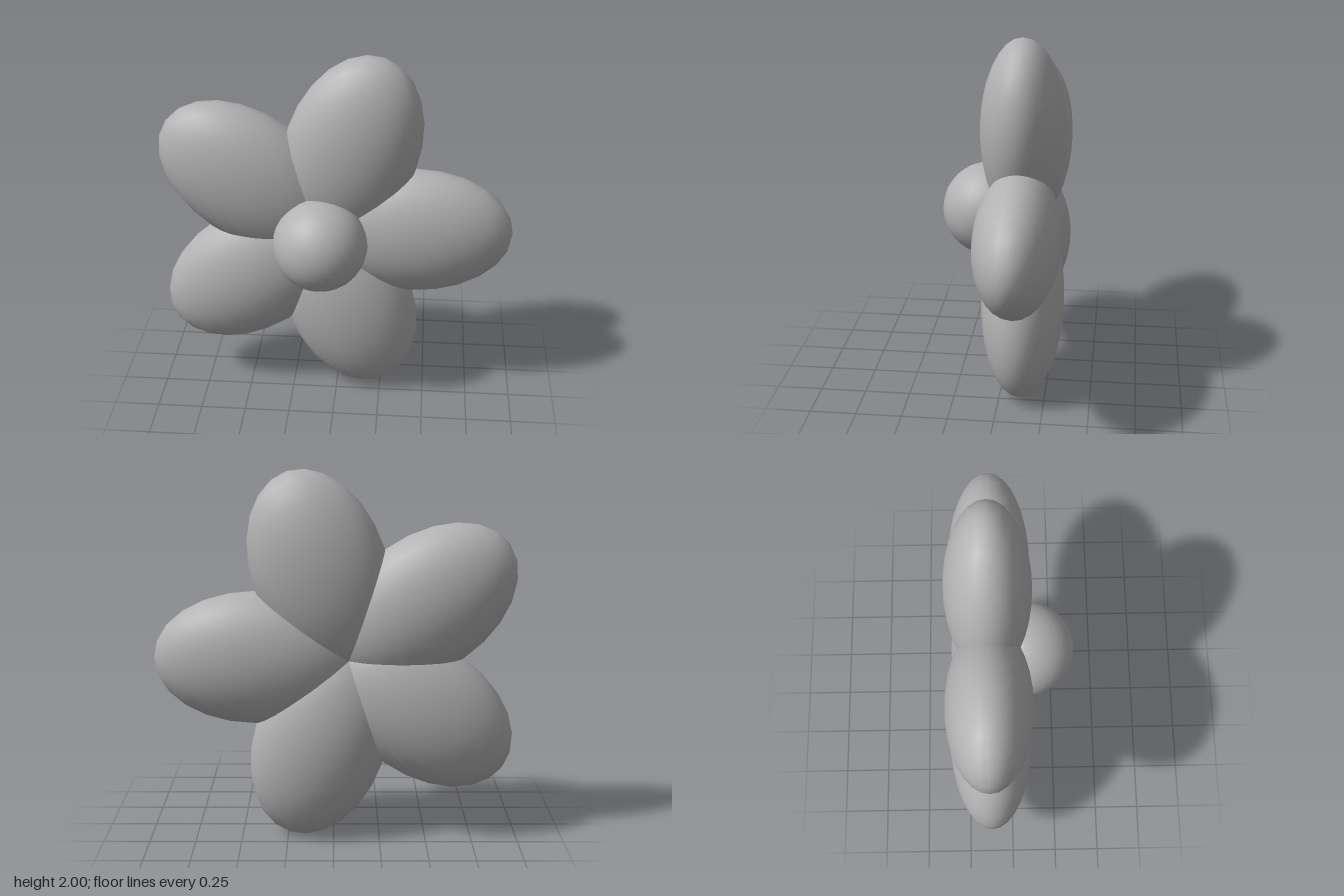
import * as THREE from 'three';

const HUB_X = -0.08, HUB_Y = 1, PETAL_Z = -0.115;

export function createModel() {
  const model = new THREE.Group();
  model.name = 'flower';
  const grey = new THREE.MeshStandardMaterial({ color: 0xb2b2b2 });
  grey.name = 'soft grey';

  // Five flattened ellipsoid petals around the hub
  const petalGeometry = new THREE.SphereGeometry(1, 24, 16);
  petalGeometry.rotateX(Math.PI / 2);
  petalGeometry.scale(0.54, 0.36, 0.227);
  petalGeometry.translate(0.5, 0, 0);
  const petals = new THREE.Group();
  petals.name = 'petals';
  petals.position.set(HUB_X, HUB_Y, PETAL_Z);
  for (let i = 0; i < 5; i++) {
    const petal = new THREE.Mesh(petalGeometry, grey);
    petal.name = `petal${i + 1}`;
    petal.rotation.z = (i * Math.PI * 2) / 5;
    petals.add(petal);
  }
  model.add(petals);

  // Round centre standing proud of the petals
  const centre = new THREE.Mesh(new THREE.SphereGeometry(0.255, 32, 20), grey);
  centre.name = 'flowerCentre';
  centre.position.set(HUB_X, HUB_Y, 0.086);
  model.add(centre);

  return model;
}
